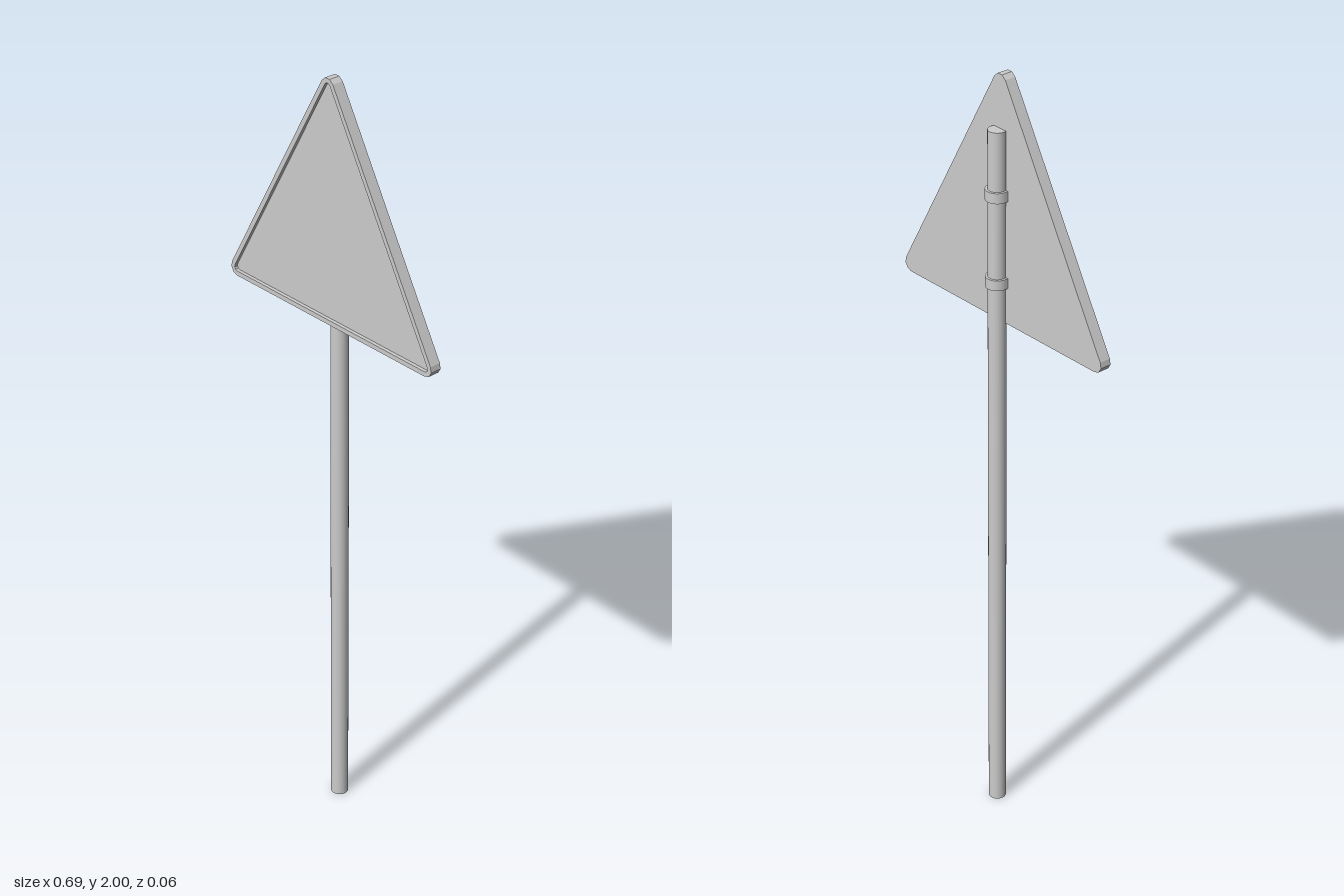
import * as THREE from 'three';

const material = new THREE.MeshStandardMaterial({ color: 0xcccccc });
const POLE_Z = -0.006;
const POLE_R = 0.022;
const BACK_Z = 0.002;
const FLOOR_Z = 0.022;
const FRONT_Z = 0.031;

// Rounded triangle: three corner centres, each with a three-facet arc of radius r
function trianglePoints(r) {
  const corners = [[0.322, 1.407, -90], [0, 1.98, 30], [-0.322, 1.407, 150]];
  const points = [];
  for (const [x, y, start] of corners) {
    for (let i = 0; i <= 3; i++) {
      const a = THREE.MathUtils.degToRad(start + i * 40);
      points.push(new THREE.Vector2(x + r * Math.cos(a), y + r * Math.sin(a)));
    }
  }
  return points;
}

function addMesh(parent, name, geometry) {
  const mesh = new THREE.Mesh(geometry, material);
  mesh.name = name;
  parent.add(mesh);
  return mesh;
}

function extrude(shape, depth) {
  return new THREE.ExtrudeGeometry(shape, { depth, bevelEnabled: false, curveSegments: 24 });
}

export function createModel() {
  const model = new THREE.Group();
  model.name = 'triangularRoadSign';

  // Post
  const height = 1.87;
  const post = addMesh(model, 'post', new THREE.CylinderGeometry(POLE_R, POLE_R, height, 24));
  post.position.set(0, height / 2, POLE_Z);

  // Sign plate: recessed panel framed by a raised rim
  const sign = new THREE.Group();
  sign.name = 'sign';
  model.add(sign);
  const inner = trianglePoints(0.009);
  addMesh(sign, 'panel', extrude(new THREE.Shape(inner), FLOOR_Z - BACK_Z)).position.z = BACK_Z;
  const rim = new THREE.Shape(trianglePoints(0.021));
  rim.holes.push(new THREE.Path(inner.slice().reverse()));
  addMesh(sign, 'rim', extrude(rim, FRONT_Z - BACK_Z)).position.z = BACK_Z;

  // U-shaped clamps holding the plate to the post
  const outerR = 0.028;
  const leg = BACK_Z - POLE_Z + 0.002;
  const clamp = new THREE.Shape();
  clamp.moveTo(outerR, -leg);
  clamp.lineTo(outerR, 0);
  clamp.absarc(0, 0, outerR, 0, Math.PI, false);
  clamp.lineTo(-outerR, -leg);
  clamp.lineTo(-POLE_R, -leg);
  clamp.lineTo(-POLE_R, 0);
  clamp.absarc(0, 0, POLE_R, Math.PI, 0, true);
  clamp.lineTo(POLE_R, -leg);
  const clampHeight = 0.026;
  const clampGeometry = extrude(clamp, clampHeight);
  clampGeometry.rotateX(-Math.PI / 2);
  for (const [name, y] of [['upperClamp', 1.712], ['lowerClamp', 1.492]]) {
    addMesh(model, name, clampGeometry).position.set(0, y - clampHeight / 2, POLE_Z);
  }

  return model;
}
